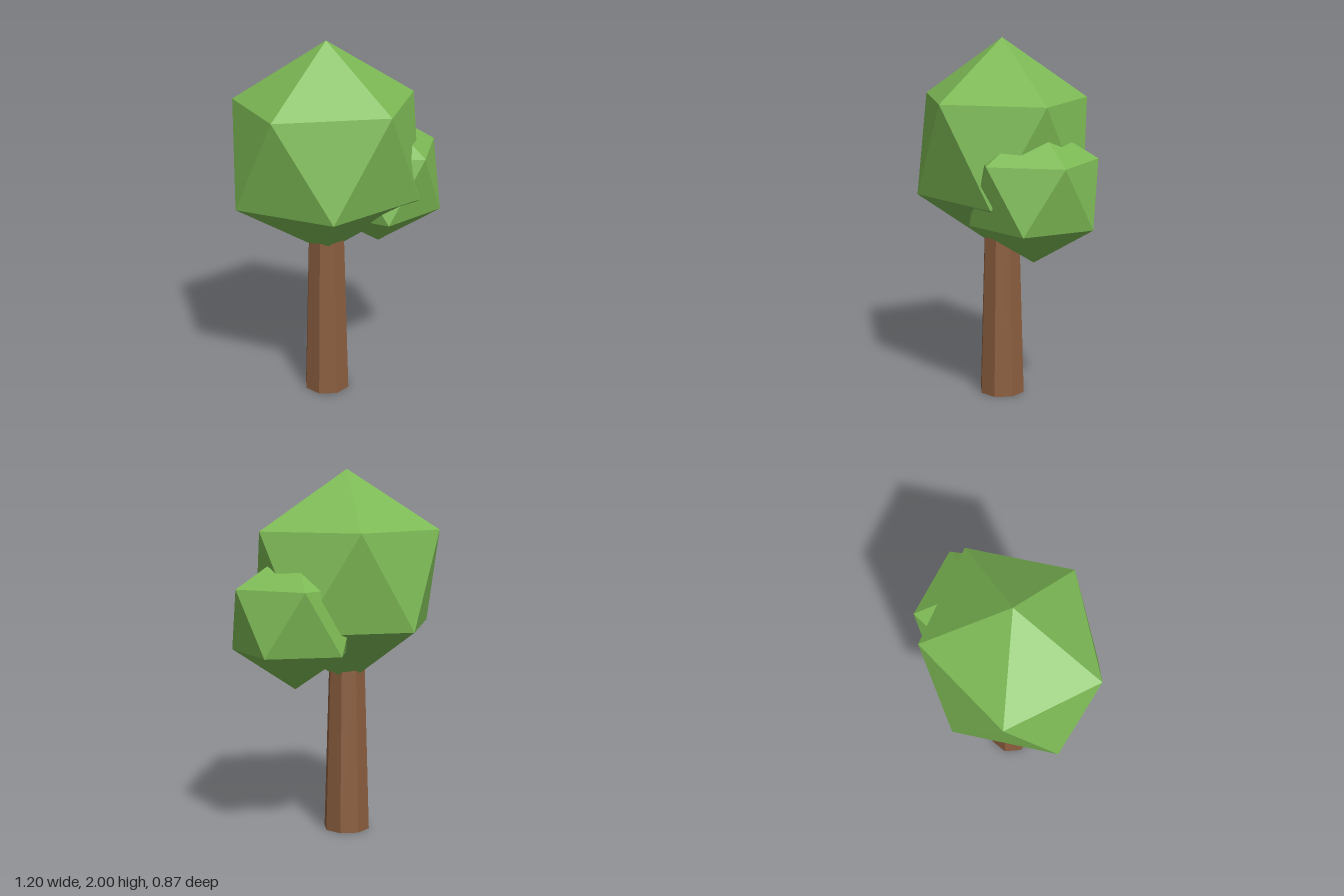
import * as THREE from 'three';

const leafMaterial = new THREE.MeshStandardMaterial({ color: 0x7dba55, flatShading: true });
const barkMaterial = new THREE.MeshStandardMaterial({ color: 0x8b5e3f, flatShading: true });

// Icosahedron standing on a corner, with an upper ring corner towards +x
function foliage(name, radius, depthScale, x, y, z) {
  const geometry = new THREE.IcosahedronGeometry(radius, 0);
  geometry.rotateZ(Math.atan(2 / (1 + Math.sqrt(5))));
  geometry.rotateY(Math.PI);
  geometry.scale(1, 1, depthScale);
  const mesh = new THREE.Mesh(geometry, leafMaterial);
  mesh.name = name;
  mesh.position.set(x, y, z);
  return mesh;
}

export function createModel() {
  const tree = new THREE.Group();
  tree.name = 'tree';

  // Tapered eight-sided trunk, its top hidden in the crown
  const trunk = new THREE.Mesh(new THREE.CylinderGeometry(0.1, 0.13, 1, 8), barkMaterial);
  trunk.name = 'trunk';
  trunk.position.set(-0.077, 0.5, 0);
  tree.add(trunk);

  // Large crown and the smaller clump on its left side
  tree.add(foliage('crown', 0.587, 0.875, -0.075, 1.413, 0));
  tree.add(foliage('sideFoliage', 0.384, 1, 0.257, 1.21, -0.027));

  return tree;
}
